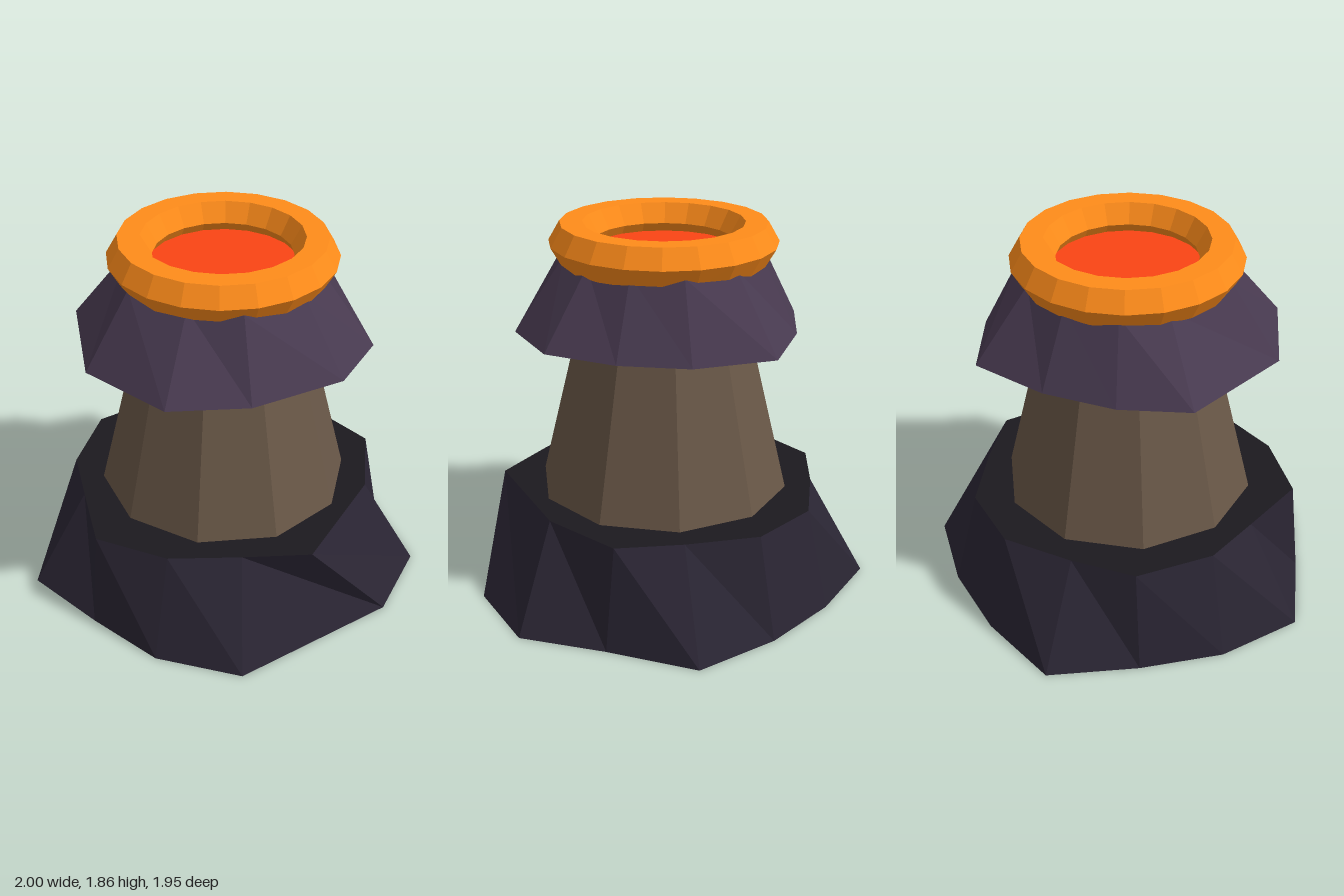
import * as THREE from 'three';

const CX = -0.02, CZ = -0.05; // axis of the vent

const mat = (color) => new THREE.MeshStandardMaterial({ color, flatShading: true });

function mesh(name, geometry, material) {
  const m = new THREE.Mesh(geometry, material);
  m.name = name;
  return m;
}

function fromTriangles(points) {
  const g = new THREE.BufferGeometry().setFromPoints(points);
  g.computeVertexNormals();
  return g;
}

// Side wall between two loops of [x, z] corners
function wall(low, y0, high, y1) {
  const pts = [];
  const n = low.length;
  for (let i = 0; i < n; i++) {
    const j = (i + 1) % n;
    const at = (p, y) => new THREE.Vector3(p[0], y, p[1]);
    const a = at(low[i], y0), b = at(low[j], y0), c = at(high[j], y1), d = at(high[i], y1);
    pts.push(a, d, c, a, c, b);
  }
  return fromTriangles(pts);
}

// Flat lid over a loop, facing up or down
function lid(loop, y, up) {
  const pts = [];
  loop.forEach((p, i) => {
    const q = loop[(i + 1) % loop.length];
    const [s, t] = up ? [q, p] : [p, q];
    pts.push(new THREE.Vector3(CX, y, CZ), new THREE.Vector3(s[0], y, s[1]), new THREE.Vector3(t[0], y, t[1]));
  });
  return fromTriangles(pts);
}

// Regular loop about the vent axis
function ring(radius, sides, startDeg) {
  return Array.from({ length: sides }, (_, i) => {
    const a = THREE.MathUtils.degToRad(startDeg) + (i / sides) * Math.PI * 2;
    return [CX + radius * Math.cos(a), CZ + radius * Math.sin(a)];
  });
}

export function createModel() {
  const model = new THREE.Group();
  model.name = 'volcanoVent';

  const baseRock = mat(0x2a2533);
  const baseLid = mat(0x1c191f);
  const stone = mat(0x6a5848);
  const collarRock = mat(0x483a50);
  const glow = mat(0xff8c1a);
  const lava = mat(0xfa4414);

  // Rough foundation
  const baseLow = [[1, .05], [.82, .46], [.1, .97], [-.33, .86], [-.66, .6], [-1, .3], [-.97, -.14],
    [-.81, -.53], [-.59, -.93], [-.14, -.98], [.28, -.94], [.7, -.8], [.84, -.36]];
  const baseHigh = [[.72, .08], [.43, .65], [.09, .68], [-.27, .7], [-.63, .56], [-.73, .2], [-.81, -.1],
    [-.72, -.49], [-.45, -.68], [-.13, -.86], [.24, -.82], [.52, -.58], [.75, -.34]];
  const base = new THREE.Group();
  base.name = 'base';
  base.add(
    mesh('baseSides', wall(baseLow, 0, baseHigh, 0.505), baseRock),
    mesh('baseTop', lid(baseHigh, 0.505, true), baseLid),
    mesh('baseBottom', lid(baseLow, 0, false), baseLid),
  );
  model.add(base);

  // Tapered column, running up inside the collar
  model.add(mesh('column', wall(ring(0.635, 10, 28), 0.5, ring(0.415, 10, 28), 1.4), stone));

  // Flared collar; its upper edge follows the lower one towards the axis
  const collarLow = [[.71, .09], [.55, .42], [.13, .66], [-.26, .7], [-.65, .38], [-.77, -.21],
    [-.55, -.48], [-.25, -.68], [.13, -.81], [.46, -.57], [.63, -.27]];
  const reach = [.48, .49, .53, .49, .52, .48, .5, .49, .5, .52, .49];
  const collarHigh = collarLow.map(([x, z], i) => {
    const k = reach[i] / Math.hypot(x - CX, z - CZ);
    return [CX + (x - CX) * k, CZ + (z - CZ) * k];
  });
  const collar = new THREE.Group();
  collar.name = 'collar';
  collar.add(
    mesh('collarSides', wall(collarLow, 1.355, collarHigh, 1.72), collarRock),
    mesh('collarUnderside', lid(collarLow, 1.355, false), lava),
    mesh('lavaPool', lid(collarHigh, 1.72, true), lava),
  );
  model.add(collar);

  // Glowing six-sided rim
  const rim = mesh('rim', new THREE.TorusGeometry(0.45, 0.11, 6, 20).rotateX(-Math.PI / 2), glow);
  rim.position.set(CX, 1.765, CZ);
  model.add(rim);

  return model;
}
